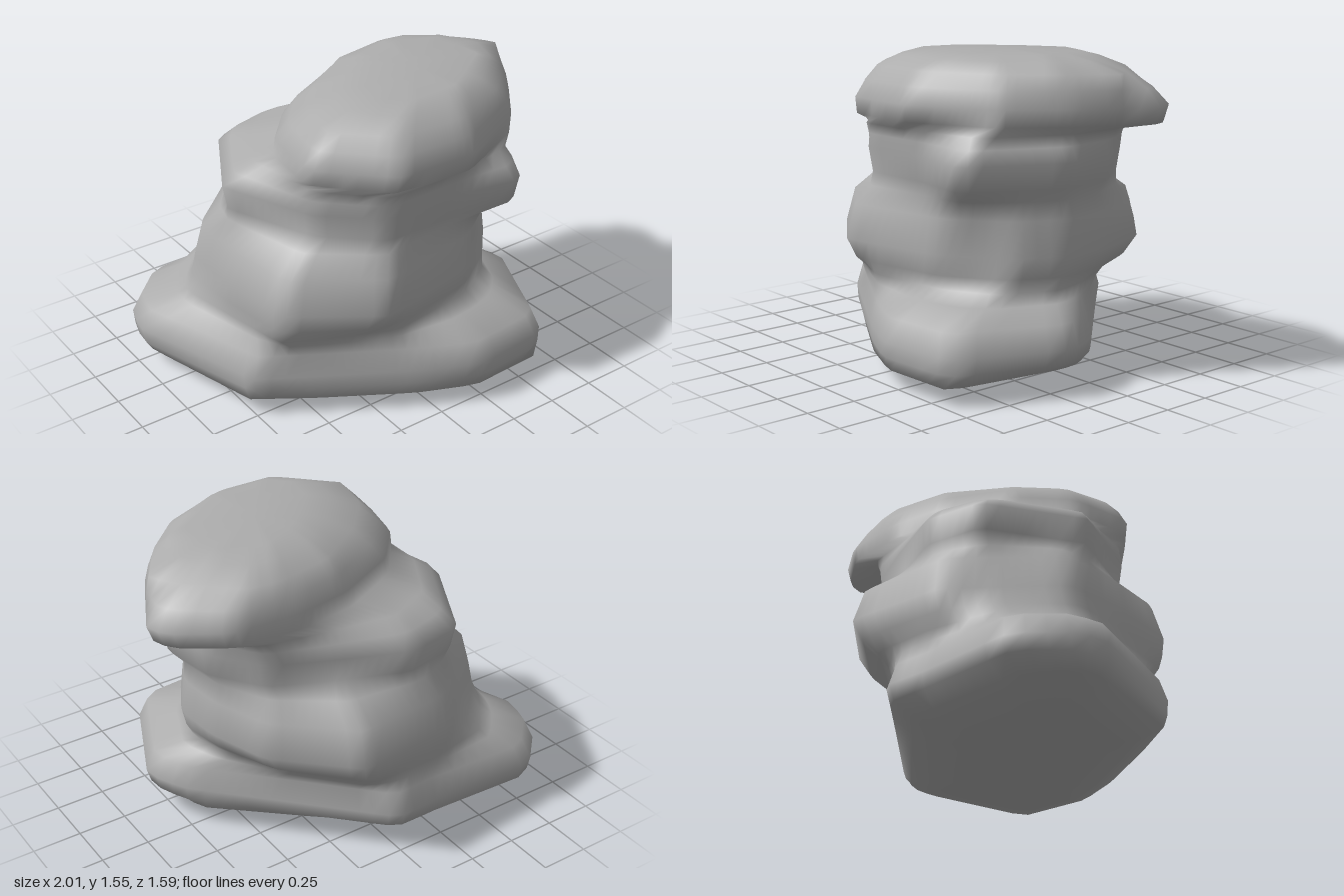
import * as THREE from 'three';

const SIDES = 72;

// Plan outlines (x, z) of the fused boulders, from the ground up
const outlines = {
  foot: [[.72, .15], [.62, .75], [.2, .77], [-.08, .65], [-.5, .4], [-.77, .22], [-.95, -.43],
    [-.93, -.56], [-.74, -.68], [-.2, -.67], [.02, -.6], [.3, -.36], [.7, 0]],
  base: [[.87, .22], [.63, .76], [.2, .8], [-.05, .68], [-.5, .42], [-.77, .26], [-1, -.43],
    [-.97, -.6], [-.78, -.79], [-.2, -.76], [.03, -.77], [.36, -.42], [.78, .02]],
  waist: [[.66, .1], [.55, .38], [.3, .52], [-.15, .58], [-.5, .43], [-.67, .34], [-.79, -.3],
    [-.74, -.42], [-.55, -.65], [-.2, -.72], [.15, -.72], [.42, -.42], [.6, -.1]],
  lower: [[.72, .1], [.6, .32], [.3, .55], [-.26, .67], [-.68, .38], [-.73, 0], [-.73, -.35],
    [-.28, -.74], [.25, -.8], [.6, -.46], [.7, -.15]],
  upper: [[.77, .15], [.55, .63], [.2, .57], [-.2, .58], [-.47, .33], [-.66, -.14], [-.4, -.61],
    [-.1, -.67], [.25, -.53], [.54, -.4], [.72, -.15]],
  neck: [[.72, .1], [.55, .5], [.2, .58], [-.2, .59], [-.46, .33], [-.52, -.1], [-.35, -.4],
    [-.1, -.52], [.25, -.47], [.57, -.41], [.71, -.2]],
  cap: [[1.01, -.17], [.82, .2], [.62, .45], [.22, .66], [-.2, .65], [-.5, .35], [-.45, 0],
    [-.25, -.23], [.1, -.4], [.38, -.45], [.73, -.43], [.98, -.27]],
  shoulder: [[.91, -.02], [.75, .22], [.55, .42], [.2, .58], [-.15, .56], [-.38, .33], [-.32, .08],
    [-.14, -.12], [.15, -.32], [.45, -.38], [.6, -.36], [.83, -.14]],
  crown: [[.64, .18], [.3, .42], [0, .44], [-.1, .34], [-.07, .16], [.14, -.06], [.38, -.19],
    [.6, -.11]],
};

// Centre of an outline and its radius in each of SIDES directions
function polar(points) {
  const box = new THREE.Box2().setFromPoints(points.map(([x, z]) => new THREE.Vector2(x, z)));
  const c = box.getCenter(new THREE.Vector2());
  const radii = [];
  for (let i = 0; i < SIDES; i++) {
    const a = i / SIDES * Math.PI * 2, dx = Math.cos(a), dz = Math.sin(a);
    let r = 0;
    points.forEach(([x1, z1], k) => {
      const [x2, z2] = points[(k + 1) % points.length];
      const ex = x2 - x1, ez = z2 - z1, px = x1 - c.x, pz = z1 - c.y;
      const det = dx * ez - dz * ex;
      if (Math.abs(det) < 1e-9) return;
      const t = (px * ez - pz * ex) / det, s = (px * dz - pz * dx) / det;
      if (t > 0 && s >= -1e-6 && s <= 1 + 1e-6) r = Math.max(r, t);
    });
    radii.push(r);
  }
  return { c, radii };
}

// Levels: height, outline, next outline, blend between them, scale
const levels = [
  [.005, 'foot', 'foot', 0, .42],
  [.035, 'foot', 'foot', 0, .76],
  [.09, 'foot', 'foot', 0, 1],
  [.155, 'foot', 'base', .85, 1],
  [.23, 'base', 'base', 0, 1],
  [.34, 'base', 'base', 0, .95],
  [.4, 'base', 'waist', .65, .96],
  [.45, 'waist', 'waist', 0, 1],
  [.52, 'waist', 'lower', .6, 1],
  [.62, 'lower', 'lower', 0, 1],
  [.79, 'lower', 'upper', .1, .96],
  [.88, 'lower', 'upper', .5, .91],
  [.95, 'upper', 'upper', 0, .97],
  [1.07, 'upper', 'upper', 0, 1],
  [1.14, 'upper', 'neck', .4, 1],
  [1.19, 'neck', 'neck', 0, 1],
  [1.24, 'neck', 'cap', .9, 1],
  [1.32, 'cap', 'cap', 0, 1],
  [1.4, 'cap', 'shoulder', .4, 1],
  [1.47, 'shoulder', 'shoulder', 0, 1],
  [1.52, 'shoulder', 'crown', .55, 1],
  [1.55, 'crown', 'crown', 0, .95],
];

function rockGeometry() {
  const shapes = {};
  for (const name in outlines) shapes[name] = polar(outlines[name]);
  const positions = [], index = [];
  const centres = levels.map(([y, from, to, mix, scale]) => {
    const A = shapes[from], B = shapes[to], c = A.c.clone().lerp(B.c, mix);
    for (let i = 0; i < SIDES; i++) {
      const a = i / SIDES * Math.PI * 2;
      const r = scale * THREE.MathUtils.lerp(A.radii[i], B.radii[i], mix);
      positions.push(c.x + r * Math.cos(a), y, c.y + r * Math.sin(a));
    }
    return c;
  });

  // Side skin
  for (let l = 0; l < levels.length - 1; l++) {
    for (let i = 0; i < SIDES; i++) {
      const j = (i + 1) % SIDES, a = l * SIDES + i, b = l * SIDES + j;
      index.push(a, a + SIDES, b, b, a + SIDES, b + SIDES);
    }
  }

  // Closed underside and crown
  const bottom = levels.length * SIDES, top = bottom + 1, last = bottom - SIDES;
  const c0 = centres[0], c1 = centres[centres.length - 1];
  positions.push(c0.x, 0, c0.y, c1.x, 1.555, c1.y);
  for (let i = 0; i < SIDES; i++) {
    const j = (i + 1) % SIDES;
    index.push(bottom, i, j, top, last + j, last + i);
  }

  const geometry = new THREE.BufferGeometry();
  geometry.setAttribute('position', new THREE.Float32BufferAttribute(positions, 3));
  geometry.setIndex(index);
  geometry.computeVertexNormals();
  return geometry;
}

export function createModel() {
  const stone = new THREE.MeshStandardMaterial({ color: 0xacacac });
  stone.name = 'grey stone';
  const rock = new THREE.Mesh(rockGeometry(), stone);
  rock.name = 'rockStack';
  const group = new THREE.Group();
  group.name = 'rock';
  group.add(rock);
  return group;
}
